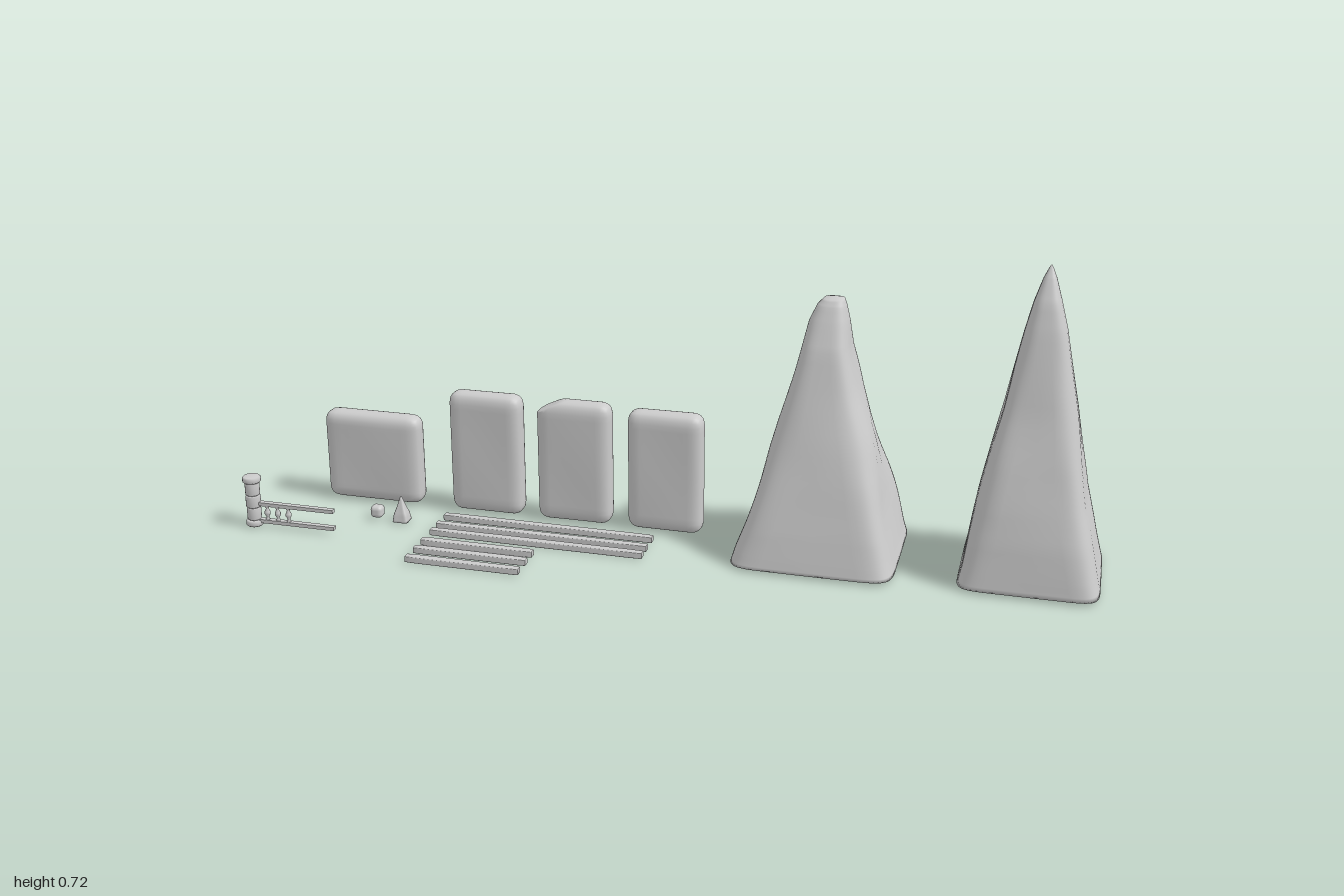
import * as THREE from 'three';
import { mergeVertices } from 'three/addons/utils/BufferGeometryUtils.js';

const grey = new THREE.MeshStandardMaterial({ color: 0xcccccc });

function add(parent, name, geometry, x = 0, y = 0, z = 0) {
  const mesh = new THREE.Mesh(geometry, grey);
  mesh.name = name;
  mesh.position.set(x, y, z);
  parent.add(mesh);
  return mesh;
}

// smooth, repeatable surface unevenness
const bump = (x, y, z, seed) =>
  Math.sin(x * 23 + seed) * Math.sin(y * 17 + seed * 2.3) * Math.cos(z * 21 + seed * 1.7);

// rock spire: rounded-square sections [y, xMin, xMax, zMin, zMax] skinned upward
function spireGeometry(levels, bottom, apex, seed) {
  const around = 48, steps = 4, sections = [];
  for (let i = 0; i < levels.length - 1; i++)
    for (let k = 0; k < steps; k++)
      sections.push(levels[i].map((v, j) => THREE.MathUtils.lerp(v, levels[i + 1][j], k / steps)));
  sections.push(levels[levels.length - 1]);
  const pos = [...bottom], index = [];
  const top = sections[sections.length - 1][0];
  for (const [y, x0, x1, z0, z1] of sections) {
    const t = y / top, power = 2 / THREE.MathUtils.lerp(9, 2.6, Math.sqrt(t));
    const wobble = 0.05 * Math.sin(Math.PI * Math.min(1, t));
    for (let i = 0; i < around; i++) {
      const a = (i / around) * Math.PI * 2, c = Math.cos(a), s = Math.sin(a);
      const px = Math.sign(c) * Math.abs(c) ** power, pz = Math.sign(s) * Math.abs(s) ** power;
      const k = 1 + wobble * bump(px * 0.15, y, pz * 0.15, seed);
      pos.push((x0 + x1) / 2 + px * k * (x1 - x0) / 2, y, (z0 + z1) / 2 + pz * k * (z1 - z0) / 2);
    }
  }
  pos.push(...apex);
  const last = pos.length / 3 - 1, topRow = last - around;
  for (let i = 0; i < around; i++) {
    const j = (i + 1) % around;
    index.push(0, 1 + i, 1 + j, last, topRow + j, topRow + i);
    for (let r = 0; r < sections.length - 1; r++) {
      const a = 1 + r * around + i, b = 1 + r * around + j;
      index.push(a, a + around, b, b, a + around, b + around);
    }
  }
  const g = new THREE.BufferGeometry();
  g.setAttribute('position', new THREE.Float32BufferAttribute(pos, 3));
  g.setIndex(index);
  g.computeVertexNormals();
  return g;
}

// worn stone slab: subdivided box with rounded edges and an optional chipped corner
function slabGeometry(w, h, d, r, seed, chip = 0) {
  let g = new THREE.BoxGeometry(w, h, d, 16, 22, 8);
  g.deleteAttribute('normal');
  g.deleteAttribute('uv');
  g = mergeVertices(g);
  const p = g.attributes.position, v = new THREE.Vector3(), core = new THREE.Vector3();
  const lim = new THREE.Vector3(w / 2 - r, h / 2 - r, d / 2 - r);
  for (let i = 0; i < p.count; i++) {
    v.fromBufferAttribute(p, i);
    core.copy(v).clamp(lim.clone().negate(), lim);
    v.sub(core).setLength(r).add(core);
    v.z *= 1 - 0.09 * (0.5 + 0.5 * bump(v.x, v.y, 0.1, seed));
    const over = v.y - h / 2 + chip - (v.x + w / 2) * 0.55;
    if (chip && over > 0) v.y -= over * 0.85;
    p.setXYZ(i, v.x, v.y, v.z);
  }
  g.computeVertexNormals();
  return g;
}

export function createModel() {
  const model = new THREE.Group();
  model.name = 'stoneKit';

  // two rock spires
  add(model, 'broadSpire', spireGeometry([
    [0.01, 0.172, 0.548, -0.25, 0.1], [0.04, 0.18, 0.54, -0.244, 0.095],
    [0.1, 0.2, 0.526, -0.228, 0.084], [0.2, 0.23, 0.503, -0.2, 0.062],
    [0.3, 0.257, 0.474, -0.178, 0.038], [0.4, 0.28, 0.442, -0.155, 0.012],
    [0.5, 0.304, 0.417, -0.132, -0.012], [0.56, 0.318, 0.408, -0.12, -0.035],
    [0.595, 0.334, 0.4, -0.11, -0.05], [0.61, 0.348, 0.395, -0.102, -0.06],
  ], [0.36, 0.003, -0.075], [0.375, 0.616, -0.08], 1.2), 0, 0, 0);
  add(model, 'tallSpire', spireGeometry([
    [0.01, 0.685, 0.998, -0.226, 0.082], [0.05, 0.693, 0.988, -0.222, 0.078],
    [0.12, 0.702, 0.972, -0.21, 0.07], [0.2, 0.715, 0.952, -0.195, 0.056],
    [0.3, 0.734, 0.934, -0.173, 0.035], [0.4, 0.756, 0.917, -0.15, 0.01],
    [0.5, 0.774, 0.896, -0.13, -0.01], [0.58, 0.79, 0.88, -0.115, -0.025],
    [0.64, 0.804, 0.864, -0.106, -0.04], [0.69, 0.82, 0.849, -0.094, -0.062],
    [0.714, 0.831, 0.839, -0.085, -0.076],
  ], [0.84, 0.003, -0.07], [0.835, 0.72, -0.08], 3.1));

  // row of standing slabs: x centre, width, top, chip
  [[-0.755, 0.248, 0.235, 0], [-0.46, 0.182, 0.312, 0],
    [-0.238, 0.183, 0.312, 0.035], [-0.014, 0.182, 0.305, 0]].forEach(([x, w, top, chip], i) => {
    add(model, 'slab' + (i + 1), slabGeometry(w, top - 0.008, 0.062, 0.026, i * 1.9 + 0.6, chip),
      x, (top + 0.008) / 2, -0.08);
  });

  // long and short beams lying on the ground
  [0, 0.05, 0.09].forEach((z, i) =>
    add(model, 'longBeam' + (i + 1), slabGeometry(0.522, 0.016, 0.019, 0.003, i), -0.287, 0.013, z));
  [0.147, 0.193, 0.243].forEach((z, i) =>
    add(model, 'shortBeam' + (i + 1), slabGeometry(0.275, 0.016, 0.02, 0.003, i + 4), -0.41, 0.013, z));

  // pebble and small pointed stone
  add(model, 'pebble', slabGeometry(0.03, 0.03, 0.03, 0.01, 2), -0.708, 0.024, 0.033);
  add(model, 'pointedStone', spireGeometry([
    [0.006, -0.019, 0.019, -0.018, 0.018], [0.025, -0.016, 0.016, -0.015, 0.015],
    [0.045, -0.009, 0.009, -0.009, 0.009], [0.065, -0.003, 0.003, -0.003, 0.003],
  ], [0, 0.004, 0], [0, 0.07, 0], 2), -0.645, 0, 0.033);

  // balustrade: turned post, two rails and small balusters
  const balustrade = new THREE.Group();
  balustrade.name = 'balustrade';
  balustrade.position.set(-0.978, 0, 0.144);
  model.add(balustrade);
  [['postBase', 0.005, 0.02, 0.021], ['postLower', 0.02, 0.052, 0.017],
    ['postMiddle', 0.052, 0.083, 0.018], ['postUpper', 0.083, 0.117, 0.0175],
    ['postCap', 0.116, 0.131, 0.022]].forEach(([name, y0, y1, r]) => {
    const h = y1 - y0, b = 0.003;
    const profile = [[0, 0], [r - b, 0], [r, b], [r, h - b], [r - b, h], [0, h]];
    add(balustrade, name,
      new THREE.LatheGeometry(profile.map(([x, y]) => new THREE.Vector2(x, y)), 16), 0, y0, 0);
  });
  [['bottomRail', 0.018], ['topRail', 0.062]].forEach(([name, y]) =>
    add(balustrade, name, new THREE.BoxGeometry(0.2, 0.009, 0.013), 0.108, y, 0));
  const turned = [[0.005, 0], [0.005, 0.006], [0.003, 0.009], [0.007, 0.017],
    [0.007, 0.023], [0.003, 0.031], [0.005, 0.034], [0.005, 0.04]];
  [0.035, 0.062, 0.09].forEach((x, i) =>
    add(balustrade, 'baluster' + (i + 1),
      new THREE.LatheGeometry(turned.map(([r, y]) => new THREE.Vector2(r, y)), 12), x, 0.02, 0));

  return model;
}
